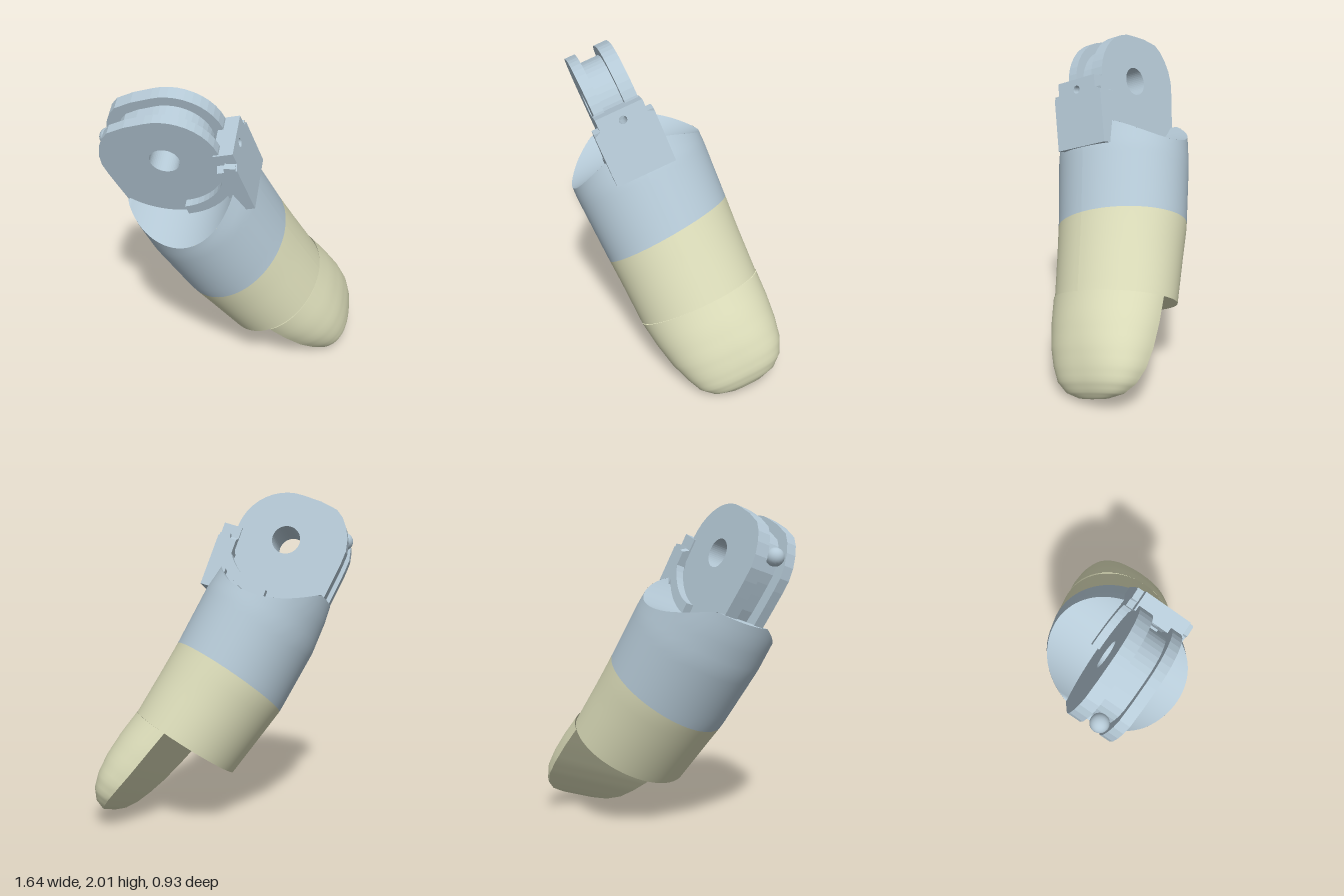
import * as THREE from 'three';

const grey = new THREE.MeshStandardMaterial({ color: 0xb5c9d6, side: THREE.DoubleSide });
grey.name = 'blue grey';
const skin = new THREE.MeshStandardMaterial({ color: 0xdadbb8, side: THREE.DoubleSide });
skin.name = 'pale cream';

// Surface patch from a rule fn(u, v) -> [x, y, z]
function patch(nu, nv, fn) {
  const pos = [], idx = [];
  for (let j = 0; j <= nv; j++)
    for (let i = 0; i <= nu; i++) pos.push(...fn(i / nu, j / nv));
  for (let j = 0; j < nv; j++)
    for (let i = 0; i < nu; i++) {
      const a = j * (nu + 1) + i, b = a + 1, c = a + nu + 1, d = c + 1;
      idx.push(a, b, d, a, d, c);
    }
  const g = new THREE.BufferGeometry();
  g.setAttribute('position', new THREE.Float32BufferAttribute(pos, 3));
  g.setIndex(idx);
  g.computeVertexNormals();
  return g;
}

// Linear lookup in rows sorted by falling first value
function lookup(rows, y) {
  let k = 0;
  while (k < rows.length - 2 && y < rows[k + 1][0]) k++;
  const a = rows[k], b = rows[k + 1];
  const t = THREE.MathUtils.clamp((a[0] - y) / (a[0] - b[0]), 0, 1);
  return a.map((v, i) => v + (b[i] - v) * t);
}

// Finger body sections: y, centre x, radius x, radius z
const BODY = [
  [-0.15, -0.07, 0.34, 0.42], [-0.3, -0.085, 0.365, 0.43], [-0.5, -0.1, 0.386, 0.435],
  [-0.91, -0.13, 0.38, 0.42], [-1.1, -0.126, 0.367, 0.41], [-1.39, -0.118, 0.348, 0.4],
];
// Fingertip sections: y, flat side x, back x, half width, centre z, roundness
const TIP = [
  [-1.39, -0.09, 0.23, 0.4, 0, 1], [-1.55, -0.068, 0.238, 0.385, -0.01, 0.95],
  [-1.7, -0.045, 0.232, 0.36, -0.02, 0.88], [-1.82, -0.02, 0.21, 0.325, -0.03, 0.82],
  [-1.91, 0.005, 0.18, 0.28, -0.03, 0.8], [-1.97, 0.028, 0.135, 0.21, -0.03, 0.8],
  [-2.0, 0.05, 0.09, 0.11, -0.03, 0.85], [-2.005, 0.065, 0.066, 0.01, -0.03, 1],
];
const NOTCH_Y = -1.39, TROUGH_R = 0.43;

function bodyPoint(angle, y) {
  const [, c, a, b] = lookup(BODY, y);
  return [c + a * Math.cos(angle), y, b * Math.sin(angle)];
}
// Height of the upper rim, cut by a cylinder around the hinge axis
function rimY(angle) {
  let y = -0.3;
  for (let k = 0; k < 12; k++) {
    const x = bodyPoint(angle, y)[0];
    y = 0.5 * y - 0.5 * Math.sqrt(Math.max(TROUGH_R ** 2 - x * x, 0.19 ** 2));
  }
  return y;
}
const seamY = angle => -0.91 - 0.087 * 0.42 * Math.sin(angle);

// Flat plate with the hinge bore, between two z values
function plate(points, z0, z1, bore) {
  const s = new THREE.Shape(points.map(p => new THREE.Vector2(...p)));
  if (bore) s.holes.push(new THREE.Path().absarc(0, 0, bore, 0, Math.PI * 2, true));
  const g = new THREE.ExtrudeGeometry(s, { depth: z1 - z0, bevelEnabled: false, curveSegments: 24 });
  return g.translate(0, 0, z0);
}

// Hinge cheek outline: round above, straight on the palm side
function cheekOutline() {
  const pts = [[-0.4, -0.46], [-0.4, -0.19], [-0.386, -0.06], [-0.374, 0.04], [-0.36, 0.12],
    [-0.328, 0.19], [-0.28, 0.25], [-0.23, 0.292], [-0.172, 0.318], [-0.06, 0.315]];
  for (let d = 78; d >= -48; d -= 9) {
    const a = THREE.MathUtils.degToRad(d), r = 0.3 + 0.03 * (78 - d) / 126;
    pts.push([r * Math.cos(a), r * Math.sin(a)]);
  }
  pts.push([0.2, -0.46]);
  return pts;
}

export function createModel() {
  const model = new THREE.Group();
  const finger = new THREE.Group();
  finger.name = 'fingerSegment';
  model.add(finger);
  const add = (name, geo, mat) => {
    const m = new THREE.Mesh(geo, mat);
    m.name = name;
    finger.add(m);
    return m;
  };
  const TAU = Math.PI * 2;

  // Grey sleeve and its concave top
  add('sleeve', patch(72, 14, (u, v) => {
    const a = u * TAU, top = rimY(a);
    return bodyPoint(a, top + (seamY(a) - top) * v);
  }), grey);
  add('hingeTrough', patch(12, 48, (u, v) => {
    const a = v * Math.PI, p = bodyPoint(a, rimY(a));
    return [p[0], p[1], p[2] * (1 - 2 * u)];
  }), grey);

  // Cream finger pad, ending in a flat notch face
  add('fingerPad', patch(72, 10, (u, v) => {
    const a = u * TAU, top = seamY(a);
    return bodyPoint(a, top + (NOTCH_Y - top) * v);
  }), skin);
  add('notchFace', patch(72, 1, (u, v) => {
    const p = bodyPoint(u * TAU, NOTCH_Y);
    return [-0.118 + (p[0] + 0.118) * v, NOTCH_Y, p[2] * v];
  }), skin);

  // Half-round fingertip with a flat underside
  const tipPoint = (u, v) => {
    const k = v * (TIP.length - 1), i = Math.min(Math.floor(k), TIP.length - 2);
    const [y, p, d, b, z, e] = TIP[i].map((q, n) => q + (TIP[i + 1][n] - q) * (k - i));
    const a = (u - 0.5) * Math.PI, s = Math.sin(a), c = Math.max(Math.cos(a), 0);
    return [p + (d - p) * c ** e, y, z + b * Math.sign(s) * Math.abs(s) ** e];
  };
  add('fingertip', patch(40, 21, tipPoint), skin);
  add('fingertipFlat', patch(1, 21, (u, v) => tipPoint(u, v)), skin);

  // Two hinge cheeks with a recessed web between them
  const outline = cheekOutline();
  add('frontCheek', plate(outline, 0.075, 0.14, 0.088), grey);
  add('backCheek', plate(outline, -0.14, -0.055, 0.088), grey);
  add('hingeWeb', plate(outline.map(([x, y]) => [x * 0.8, y > -0.4 ? y * 0.8 : y]), -0.06, 0.08, 0.088), grey);
  const bead = add('cordBead', new THREE.SphereGeometry(0.055, 20, 14), grey);
  bead.position.set(-0.28, 0.2, 0.02);

  // Curved stop ribs on both outer faces
  const rib = [];
  for (let k = 0; k <= 24; k++) {
    const a = THREE.MathUtils.degToRad(k <= 12 ? -25 - k * 6.5 : -103 + (k - 13) * 78 / 11);
    const r = k <= 12 ? 0.41 : 0.345;
    rib.push([r * Math.cos(a), r * Math.sin(a)]);
  }
  add('frontStopRib', plate(rib, 0.135, 0.19), grey);
  add('backStopRib', plate(rib, -0.19, -0.135), grey);

  // Stepped back block with a small pin hole
  const half = [[0.15, 0], [0.15, -0.075], [0.19, -0.095], [0.19, -0.42]];
  const block = new THREE.Shape([...half, ...half.map(([x, y]) => [-x, y]).reverse()]
    .map(p => new THREE.Vector2(...p)));
  block.holes.push(new THREE.Path().absarc(0, -0.065, 0.025, 0, TAU, true));
  const blockGeo = new THREE.ExtrudeGeometry(block, { depth: 0.12, bevelEnabled: false });
  blockGeo.translate(0, 0, -0.12).rotateY(Math.PI / 2).rotateZ(-0.23).translate(0.395, -0.1, 0);
  add('backBlock', blockGeo, grey);

  // Tilt the finger into its resting pose
  const up = new THREE.Vector3(-0.55, 0.825, 0.12).normalize();
  const side = new THREE.Vector3(-0.29, -0.32, 0.9);
  side.addScaledVector(up, -side.dot(up)).normalize();
  const back = new THREE.Vector3().crossVectors(up, side);
  finger.quaternion.setFromRotationMatrix(new THREE.Matrix4().makeBasis(back, up, side));
  finger.position.set(-0.42, 1.69, 0.13);
  return model;
}
